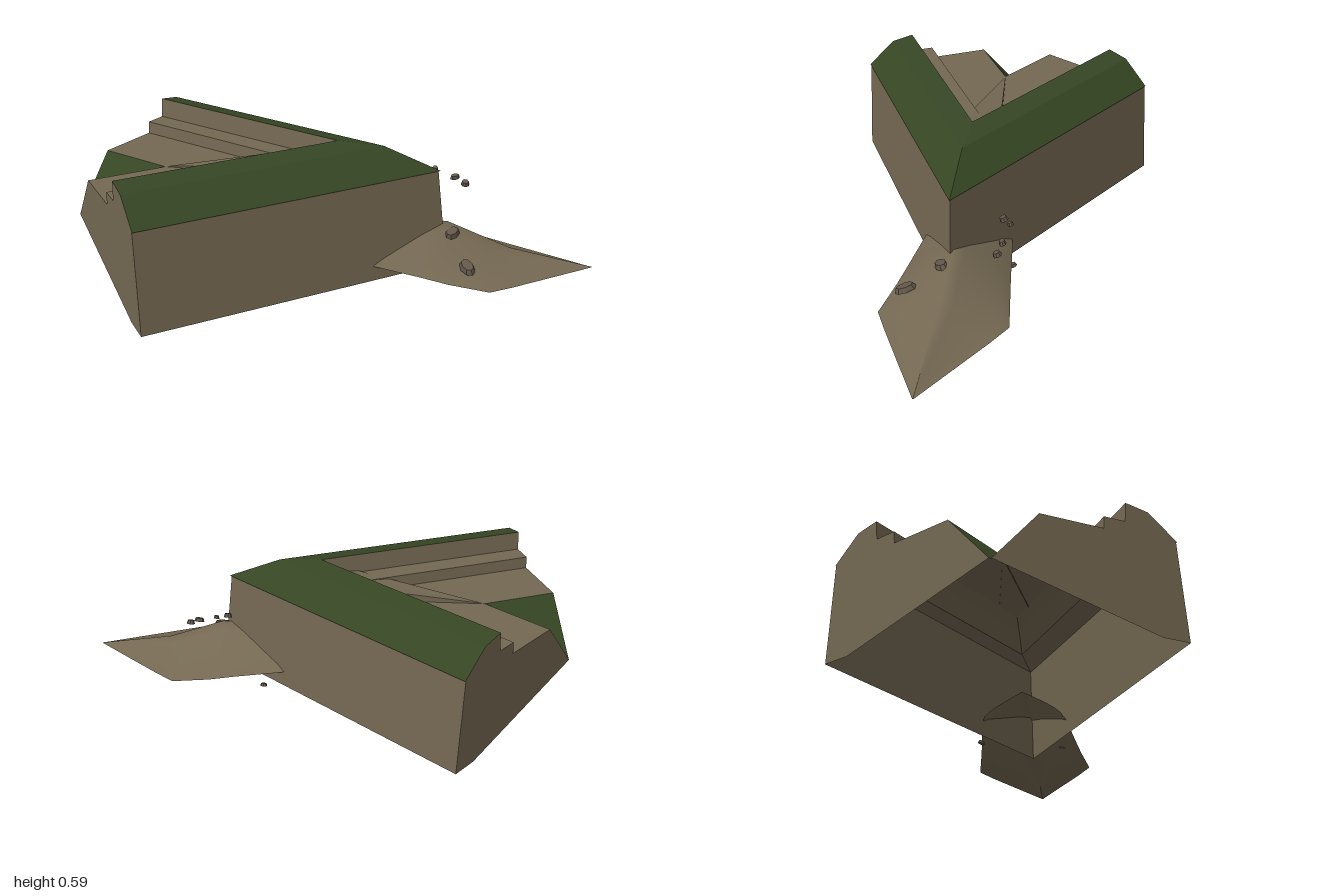
import * as THREE from 'three';

function flatColour(name, color, side) {
  const m = new THREE.MeshStandardMaterial({ color, side });
  m.name = name;
  return m;
}
const earth = flatColour('earth', 0x746852, THREE.DoubleSide);
const grass = flatColour('grass', 0x364624, THREE.DoubleSide);
const stone = flatColour('stone', 0x62574a, THREE.FrontSide);

// Mesh from a list of triangles or quads (counter-clockwise corners)
function faceMesh(name, faces, material) {
  const pos = [];
  for (const f of faces) {
    for (let i = 1; i < f.length - 1; i++) pos.push(...f[0], ...f[i], ...f[i + 1]);
  }
  const g = new THREE.BufferGeometry();
  g.setAttribute('position', new THREE.Float32BufferAttribute(pos, 3));
  g.computeVertexNormals();
  const m = new THREE.Mesh(g, material);
  m.name = name;
  return m;
}

// Rampart: one cross-section (distance inward, height) along two mitred arms
const CX = 0.43, CZ = 0.465, UX = -0.4875, UZ = -0.873, ARM = 1.433;
const end1 = ([d, y]) => [-1, y, CZ - d];
const miter = ([d, y]) => [CX - d * (1 - UX) / -UZ, y, CZ - d];
const end2 = ([d, y]) => [CX + UX * ARM + UZ * d, y, CZ + UZ * ARM - UX * d];

const profile = [
  [0, 0.008], [0.027, 0.455],                   // outer wall
  [0.022, 0.455], [0.148, 0.565], [0.25, 0.585], // grassy parapet
  [0.257, 0.497], [0.352, 0.497], [0.356, 0.442], // firing step
  [0.635, 0.442], [0.835, 0.2],                 // floor and rear slope
  [0.12, 0.008],                                // foot of the end caps
];

function strips(name, points, material) {
  const faces = [];
  for (let i = 0; i < points.length - 1; i++) {
    const a = points[i], b = points[i + 1];
    faces.push([end1(a), miter(a), miter(b), end1(b)]);
    faces.push([miter(a), end2(a), end2(b), miter(b)]);
  }
  return faceMesh(name, faces, material);
}

function endCaps() {
  const pts = profile.map(([d, y]) => new THREE.Vector2(d, y));
  const faces = [];
  for (const t of THREE.ShapeUtils.triangulateShape(pts, [])) {
    const [a, b, c] = t.map((i) => profile[i]);
    const area = (b[0] - a[0]) * (c[1] - a[1]) - (b[1] - a[1]) * (c[0] - a[0]);
    const ccw = area > 0 ? [a, b, c] : [a, c, b];
    faces.push(ccw.map(end2), [...ccw].reverse().map(end1));
  }
  return faceMesh('endCaps', faces, earth);
}

// Low gun ramp rising into the corner, just breaking through the step
function ramp() {
  const a = [-0.65, 0.443, -0.17], q = [-0.17, 0.505, 0.21];
  const c = [0, 0.518, 0.212], p = [-0.1, 0.505, 0.05];
  const low = ([x, , z]) => [x, 0.435, z];
  return faceMesh('cornerRamp', [
    [a, q, c, p], [low(a), low(q), q, a], [low(p), low(a), a, p],
  ], earth);
}

// Open earth spur spilling from the corner:
// [along, half width, edge height, ridge height, ridge sharpness]
function spur() {
  const sections = [
    [-0.4, 0.18, 0.085, 0.2, 0.8], [-0.32, 0.2, 0.075, 0.215, 0.85],
    [-0.12, 0.23, 0.045, 0.22, 0.9], [0, 0.25, 0.025, 0.21, 1],
    [0.175, 0.28, 0.01, 0.135, 1.3], [0.28, 0.221, 0.007, 0.09, 1.3],
    [0.65, 0.002, 0.004, 0.006, 1],
  ];
  const N = 12, pos = [], index = [];
  for (const [s, w, e, r, power] of sections) {
    for (let j = 0; j <= N; j++) {
      const k = (j / N) * 2 - 1;
      const y = e + (r - e) * Math.pow(1 - Math.abs(k), power);
      pos.push(0.435 + 0.861 * s + 0.508 * w * k, y, 0.455 + 0.508 * s - 0.861 * w * k);
    }
  }
  for (let i = 0; i < sections.length - 1; i++) {
    for (let j = 0; j < N; j++) {
      const a = i * (N + 1) + j, b = a + N + 1;
      index.push(a, b, b + 1, a, b + 1, a + 1);
    }
  }
  const g = new THREE.BufferGeometry();
  g.setAttribute('position', new THREE.Float32BufferAttribute(pos, 3));
  g.setIndex(index);
  g.computeVertexNormals();
  const m = new THREE.Mesh(g, earth);
  m.name = 'spur';
  return m;
}

// Chipped flat stones: position, size, turn
function stones() {
  const group = new THREE.Group();
  group.name = 'stones';
  const list = [
    [0.43, 0.175, 0.5, 0.075, 0.022, 0.05, 0.3],
    [0.412, 0.082, 0.655, 0.055, 0.022, 0.09, -0.1],
    [0.455, 0.36, 0.23, 0.034, 0.018, 0.034, 0.6],
    [0.51, 0.366, 0.22, 0.025, 0.013, 0.025, 0.2],
    [0.58, 0.333, 0.28, 0.042, 0.016, 0.028, -0.2],
    [0.615, 0.308, 0.315, 0.034, 0.018, 0.036, 0.4],
    [0.32, 0.01, 0.14, 0.03, 0.013, 0.03, 0.5],
  ];
  const g = new THREE.CylinderGeometry(0.42, 0.56, 1, 8).toNonIndexed();
  g.computeVertexNormals();
  for (const [x, y, z, w, h, d, turn] of list) {
    const m = new THREE.Mesh(g, stone);
    m.name = 'stone';
    m.scale.set(w, h, d);
    m.position.set(x, y, z);
    m.rotation.set(0.25, turn, 0.2);
    group.add(m);
  }
  return group;
}

export function createModel() {
  const model = new THREE.Group();
  model.name = 'earthRampartCorner';
  model.add(
    strips('outerWall', profile.slice(0, 3), earth),
    strips('grassParapet', profile.slice(2, 5), grass),
    strips('stepAndFloor', profile.slice(4, 9), earth),
    strips('rearGrassSlope', profile.slice(8, 10), grass),
    // Earth lining under the parapet, seen through the open base
    strips('innerLining', [[0.027, 0.455], [0.25, 0.35], [0.31, 0.41], [0.356, 0.442]], earth),
    endCaps(), ramp(), spur(), stones(),
  );
  return model;
}
